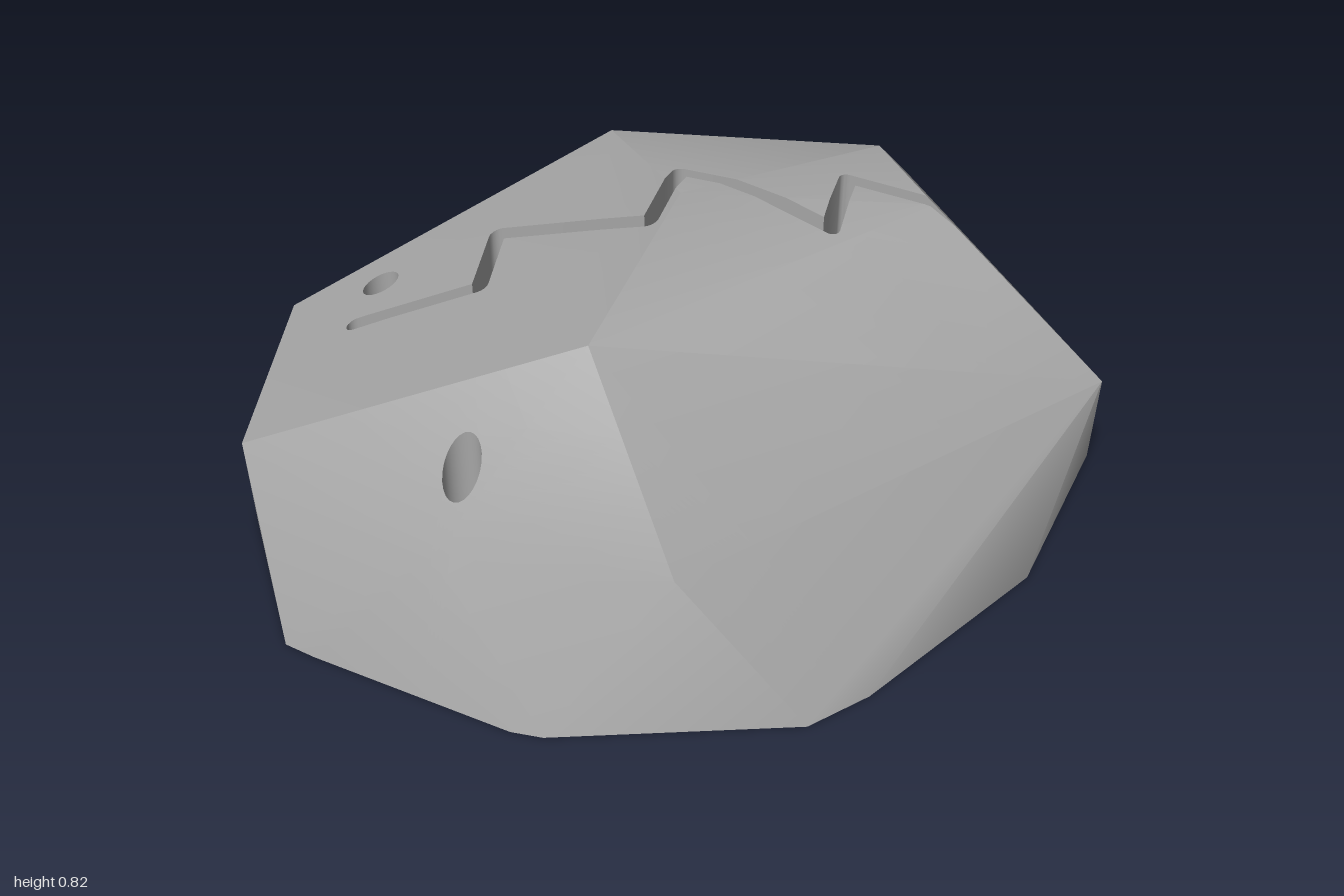
import * as THREE from 'three';
import { toCreasedNormals } from 'three/addons/utils/BufferGeometryUtils.js';
import { ConvexGeometry } from 'three/addons/geometries/ConvexGeometry.js';

const V2 = (x, y) => new THREE.Vector2(x, y);

// Corners of the stone above the ground
const CORNERS = [
  [0.02, 0.82, 0.02], [-0.33, 0.765, 0.41], [0.58, 0.745, 0.16], [0.58, 0.745, -0.12],
  [0.02, 0.73, -0.44], [0.86, 0.41, -0.47], [0.86, 0.41, 0.5], [-1, 0.4, 0.01],
  [-0.79, 0.41, -0.45], [0.31, 0.37, -0.7], [-0.26, 0.36, 0.71], [-0.69, 0.34, 0.44],
];
// Footprint on the ground (x, z)
const FOOT = [
  [1, 0.31], [1, -0.04], [0.93, -0.25], [0.71, -0.68], [0.64, -0.71], [0.07, -0.875], [-0.02, -0.865],
  [-0.1, -0.84], [-0.6, -0.59], [-0.95, -0.27], [-0.98, -0.2], [-1, 0.24], [-0.95, 0.3],
  [-0.61, 0.66], [-0.55, 0.7], [-0.02, 0.87], [0.14, 0.84], [0.64, 0.64],
];
// Centre line of the zigzag slot and centres of the round holes (x, z)
const ZIGZAG = [[-0.69, -0.2], [-0.43, -0.055], [-0.33, -0.245], [-0.07, 0.065],
  [0.07, -0.105], [0.31, 0.185], [0.43, 0.02], [0.71, 0.255]];
const HOLES = [[-0.6, -0.32], [-0.6, 0.375], [0.5, -0.41]];
const SLOT_R = 0.021, BORE_R = 0.043, PIN_R = 0.02, BORE_FLOOR = 0.2;

// Outline of a constant-width band around a path: walk there and back, rounding outer turns
function bandOutline(path, r) {
  const pts = path.map((p) => V2(...p));
  const walk = [...pts, ...pts.slice(1, -1).reverse()];
  const n = walk.length, out = [];
  walk.forEach((p, i) => {
    const a = p.clone().sub(walk[(i + n - 1) % n]).angle();
    const b = walk[(i + 1) % n].clone().sub(p).angle();
    let turn = Math.atan2(Math.sin(b - a), Math.cos(b - a));
    if (Math.abs(turn) > 3.1) turn = Math.PI;
    const side = a - Math.PI / 2;
    if (turn > 0) {
      const steps = Math.ceil(turn / 0.4);
      for (let k = 0; k <= steps; k++) {
        const t = side + turn * k / steps;
        out.push(V2(p.x + r * Math.cos(t), p.y + r * Math.sin(t)));
      }
    } else {
      const t = side + turn / 2, m = r / Math.cos(turn / 2);
      out.push(V2(p.x + m * Math.cos(t), p.y + m * Math.sin(t)));
    }
  });
  return out;
}

function circle([x, z], r, n = 24) {
  return Array.from({ length: n }, (_, i) => {
    const t = i / n * Math.PI * 2;
    return V2(x + r * Math.cos(t), z + r * Math.sin(t));
  });
}

const cross2 = (a, b, p) => (b.x - a.x) * (p.y - a.y) - (b.y - a.y) * (p.x - a.x);

// Clip a polygon (or a two-point segment) to a triangle in plan
function clip(poly, tri) {
  const s = Math.sign(cross2(...tri));
  for (let e = 0; e < 3; e++) {
    const a = tri[e], b = tri[(e + 1) % 3], out = [];
    poly.forEach((p, i) => {
      const q = poly[(i + 1) % poly.length];
      const dp = s * cross2(a, b, p), dq = s * cross2(a, b, q);
      if (dp >= 0) out.push(p);
      if ((dp > 0 && dq < 0) || (dp < 0 && dq > 0)) out.push(p.clone().lerp(q, dp / (dp - dq)));
    });
    poly = out;
  }
  return poly;
}

// Plan region with the cut-outs removed, as triangles
function planTriangles(holes) {
  const rim = [V2(-2, -2), V2(2, -2), V2(2, 2), V2(-2, 2)];
  const all = [rim, ...holes].flat();
  return THREE.ShapeUtils.triangulateShape(rim, holes).map((f) => f.map((i) => all[i]));
}

function makeGeometry(pos, nor) {
  const g = new THREE.BufferGeometry();
  g.setAttribute('position', new THREE.Float32BufferAttribute(pos, 3));
  if (nor) g.setAttribute('normal', new THREE.Float32BufferAttribute(nor, 3));
  else g.computeVertexNormals();
  return g;
}

export function createModel() {
  const group = new THREE.Group();
  const stone = new THREE.MeshStandardMaterial({ color: 0xa6a6a6, side: THREE.DoubleSide });
  stone.name = 'stone grey';
  const add = (name, geometry) => {
    const m = new THREE.Mesh(geometry, stone);
    m.name = name;
    group.add(m);
    return m;
  };

  // Facets of the convex stone, with soft shading over shallow edges
  const points = [...CORNERS, ...FOOT.map(([x, z]) => [x, 0, z])].map((p) => new THREE.Vector3(...p));
  const hull = toCreasedNormals(new ConvexGeometry(points), 0.5);
  const read = (attr, i) => new THREE.Vector3().fromBufferAttribute(hull.attributes[attr], i);
  const facets = [];
  for (let i = 0; i < hull.attributes.position.count; i += 3) {
    const p = [0, 1, 2].map((k) => read('position', i + k));
    const n = [0, 1, 2].map((k) => read('normal', i + k));
    const up = new THREE.Triangle(...p).getNormal(new THREE.Vector3()).y;
    facets.push({ p, n, up, plan: p.map((v) => V2(v.x, v.z)) });
  }
  const blend = (f, q, key) => {
    const [a, b, c] = f.plan, area = cross2(a, b, c);
    const w = [cross2(b, c, q) / area, cross2(c, a, q) / area, cross2(a, b, q) / area];
    return w.reduce((s, k, i) => s.addScaledVector(f[key][i], k), new THREE.Vector3());
  };

  // Stone skin: cut the plan pieces to each facet and lift them onto it
  const slot = bandOutline(ZIGZAG, SLOT_R);
  const bores = HOLES.map((c) => circle(c, BORE_R));
  const topPlan = planTriangles([slot, ...bores]);
  const basePlan = planTriangles([slot, ...HOLES.map((c) => circle(c, PIN_R))]);
  const skin = { pos: [], nor: [] }, base = { pos: [], nor: [] };
  for (const f of facets) {
    const target = f.up < -0.9 ? base : skin;
    const put = (p, n) => {
      target.pos.push(...p.toArray());
      target.nor.push(...n.normalize().toArray());
    };
    if (Math.abs(f.up) < 0.15 || (f.up < 0 && f.up > -0.9)) {
      f.p.forEach((p, i) => put(p, f.n[i].clone()));
      continue;
    }
    for (const t of f.up > 0 ? topPlan : basePlan) {
      const poly = clip(t, f.plan);
      for (let i = 1; i + 1 < poly.length; i++) {
        const tri = [poly[0], poly[i], poly[i + 1]];
        const area = cross2(...tri);
        if (Math.abs(area) < 1e-9) continue;
        if (area * f.up > 0) tri.reverse();
        tri.forEach((q) => put(blend(f, q, 'p'),
          f.up < 0 ? new THREE.Vector3(0, -1, 0) : blend(f, q, 'n')));
      }
    }
  }
  add('stoneShell', makeGeometry(skin.pos, skin.nor));
  add('stoneBase', makeGeometry(base.pos, base.nor));

  // Walls of a cut-out, from a floor height up to the facets
  const walls = (ring, floor) => {
    const pos = [];
    ring.forEach((a, i) => {
      const b = ring[(i + 1) % ring.length], dir = b.clone().sub(a);
      for (const f of facets) {
        if (f.up < 0.15) continue;
        const seg = clip([a, b], f.plan).sort((p, q) => p.dot(dir) - q.dot(dir));
        if (seg.length < 2) continue;
        const s = seg[0], e = seg[seg.length - 1];
        if (s.distanceTo(e) < 1e-6) continue;
        const S = blend(f, s, 'p').toArray(), E = blend(f, e, 'p').toArray();
        const s0 = [s.x, floor, s.y], e0 = [e.x, floor, e.y];
        pos.push(...s0, ...e0, ...E, ...s0, ...E, ...S);
      }
    });
    return toCreasedNormals(makeGeometry(pos), 0.6);
  };
  add('zigzagSlotWalls', walls(slot, 0));

  // Stepped round holes: wide bore, ledge and narrow pin hole
  HOLES.forEach(([x, z], i) => {
    add('boreWall', walls(bores[i], BORE_FLOOR));
    const ledge = add('boreLedge', new THREE.RingGeometry(PIN_R, BORE_R, 24));
    ledge.rotation.x = -Math.PI / 2;
    ledge.position.set(x, BORE_FLOOR, z);
    add('pinHole', new THREE.CylinderGeometry(PIN_R, PIN_R, BORE_FLOOR, 24, 1, true))
      .position.set(x, BORE_FLOOR / 2, z);
  });
  return group;
}
